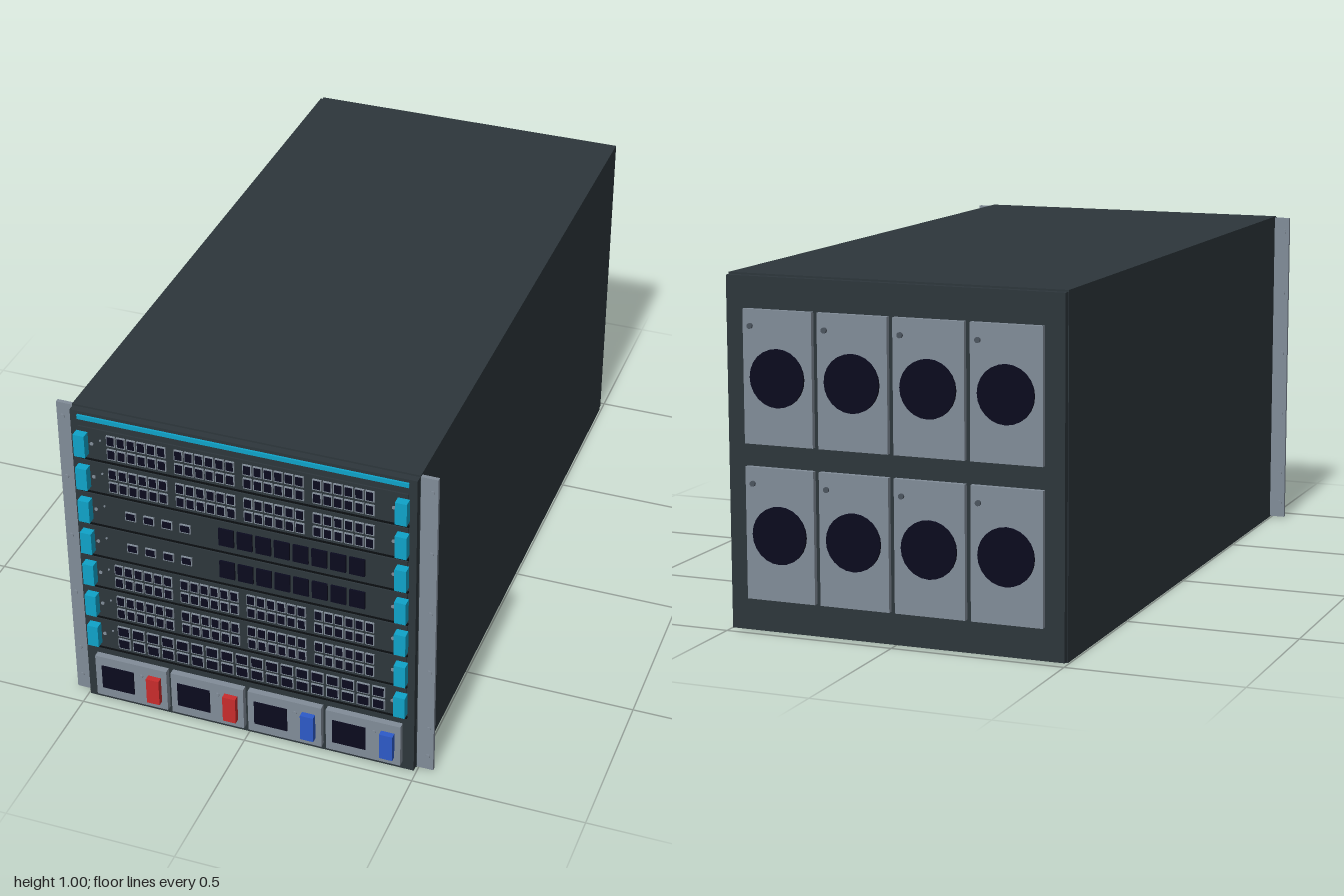
import * as THREE from 'three';

const mat = (name, color, side = THREE.FrontSide) => {
  const m = new THREE.MeshStandardMaterial({ color, side });
  m.name = name;
  return m;
};

export function createModel() {
  const root = new THREE.Group();
  root.name = 'rackChassis';
  const charcoal = mat('charcoal', 0x2d363b);
  const black = mat('seamBlack', 0x0c0f12);
  const cavity = mat('cavityNavy', 0x0a0a1e);
  const steel = mat('steelGrey', 0x818c98);
  const dimSteel = mat('dimSteel', 0x4c555f);
  const cyan = mat('cyan', 0x0fa3c9);
  const red = mat('red', 0xc92c2c);
  const blue = mat('blue', 0x2d5ac8);

  // Box given by centre x, y, size w, h and z range
  const box = (parent, name, m, x, y, w, h, z0, z1) => {
    const mesh = new THREE.Mesh(new THREE.BoxGeometry(w, h, z1 - z0), m);
    mesh.position.set(x, y, (z0 + z1) / 2);
    mesh.name = name;
    parent.add(mesh);
    return mesh;
  };
  // Disc with its axis along z
  const disc = (parent, name, m, x, y, r, z0, z1, sides = 12) => {
    const g = new THREE.CylinderGeometry(r, r, z1 - z0, sides).rotateX(Math.PI / 2);
    const mesh = new THREE.Mesh(g, m);
    mesh.position.set(x, y, (z0 + z1) / 2);
    mesh.name = name;
    parent.add(mesh);
  };
  const group = (name, y = 0, x = 0) => {
    const g = new THREE.Group();
    g.name = name;
    g.position.set(x, y, 0);
    root.add(g);
    return g;
  };

  // Housing with slightly inset front bezel and back panel
  box(root, 'housing', charcoal, 0, 0.4985, 0.99, 0.997, -0.957, 0.942);
  box(root, 'frontBezel', charcoal, 0, 0.498, 0.986, 0.988, 0.942, 0.963);
  box(root, 'backPanel', charcoal, 0, 0.498, 0.986, 0.988, -0.977, -0.957);
  box(root, 'accentStrip', cyan, 0, 0.976, 0.942, 0.013, 0.963, 0.969);

  // Rack mounting ears with bolts
  for (const s of [-1, 1]) {
    const ear = group(s < 0 ? 'rightEar' : 'leftEar');
    box(ear, 'earFlange', steel, s * 0.519, 0.498, 0.048, 0.99, 0.93, 0.942);
    for (const y of [0.05, 0.15, 0.35, 0.55, 0.75, 0.95])
      disc(ear, 'earBolt', steel, s * 0.527, y, 0.007, 0.926, 0.946);
  }

  // Framed port: grey surround with a dark opening
  const port = (parent, x, y, w, h) => {
    box(parent, 'portFrame', steel, x, y, w, h, 0.968, 0.973);
    box(parent, 'portOpening', cavity, x, y + 0.001, w - 0.006, h - 0.007, 0.973, 0.975);
  };

  const fillCard = {
    // Two rows of four six-port blocks
    dense(card) {
      for (const y of [-0.0217, 0.0217])
        for (let b = 0; b < 4; b++)
          for (let i = 0; i < 6; i++)
            port(card, -0.373 + b * 0.197 + i * 0.0295, y, 0.0255, 0.033);
    },
    // Four service ports and eight expansion slots
    control(card) {
      for (let i = 0; i < 4; i++) port(card, -0.327 + i * 0.0537, 0, 0.032, 0.027);
      for (let i = 0; i < 8; i++)
        box(card, 'expansionSlot', cavity, -0.046 + i * 0.0537, 0, 0.044, 0.055, 0.968, 0.974);
    },
    // Two rows of eighteen wide ports
    wide(card) {
      for (const y of [-0.0217, 0.0217])
        for (let i = 0; i < 18; i++) port(card, -0.37 + i * 0.0448, y, 0.037, 0.034);
    },
  };

  // Seven line cards, top to bottom
  ['dense', 'dense', 'control', 'control', 'dense', 'dense', 'wide'].forEach((kind, i) => {
    const card = group('lineCard', 0.898 - i * 0.1087);
    box(card, 'cardFace', charcoal, 0, 0, 0.94, 0.098, 0.96, 0.968);
    box(card, 'cardSeam', black, 0, -0.0525, 0.945, 0.006, 0.96, 0.969);
    for (const s of [-1, 1]) {
      box(card, 'ejectorHandle', cyan, s * 0.458, 0, 0.033, 0.07, 0.968, 0.993);
      disc(card, 'cardScrew', steel, s * 0.431, 0, 0.0055, 0.966, 0.971, 6);
    }
    disc(card, 'statusLight', steel, -0.405, 0.016, 0.003, 0.966, 0.971, 6);
    fillCard[kind](card);
  });

  // Four power supplies
  for (let i = 0; i < 4; i++) {
    const psu = group('powerSupply', 0.097, -0.351 + i * 0.2335);
    box(psu, 'supplyFace', steel, 0, 0, 0.22, 0.139, 0.963, 0.982);
    box(psu, 'supplyInlet', cavity, -0.041, 0, 0.099, 0.079, 0.982, 0.985);
    box(psu, 'supplyHandle', i < 2 ? red : blue, 0.073, 0, 0.039, 0.085, 0.982, 1);
    disc(psu, 'supplyLight', steel, 0.032, 0.033, 0.006, 0.98, 0.986);
  }

  // Eight fan trays on the back
  for (const y of [0.282, 0.718])
    for (let i = 0; i < 4; i++) {
      const fan = group('fanTray', y, (i - 1.5) * 0.2225);
      box(fan, 'fanPlate', steel, 0, 0, 0.206, 0.372, -0.992, -0.977);
      disc(fan, 'fanOpening', cavity, 0, 0, 0.081, -0.999, -0.99, 24);
      disc(fan, 'fanLight', dimSteel, 0.08, 0.14, 0.008, -0.999, -0.99);
    }

  return root;
}
